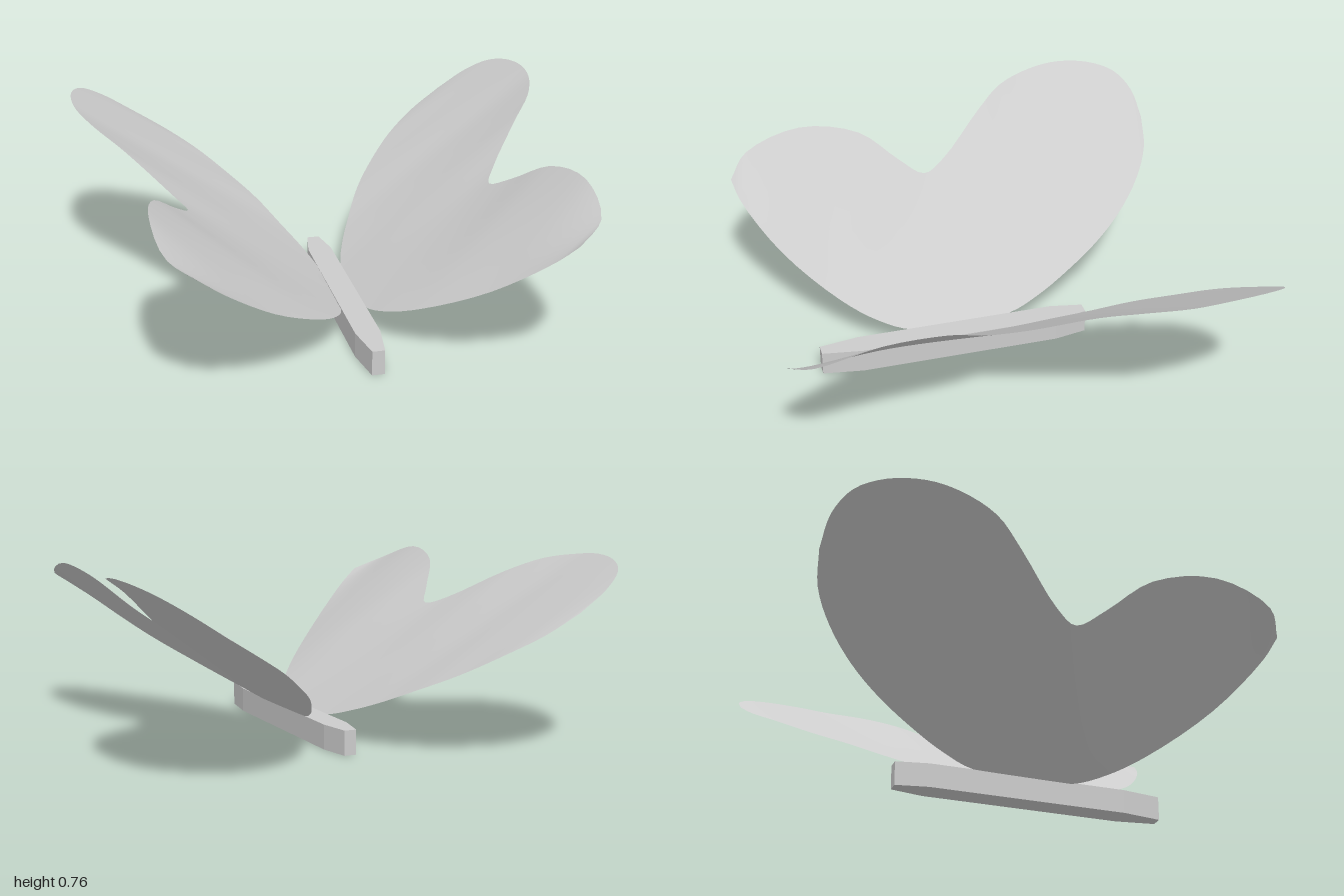
import * as THREE from 'three';

const material = new THREE.MeshStandardMaterial({ color: 0xcccccc, side: THREE.DoubleSide });

const curve = (points) => new THREE.CatmullRomCurve3(points.map((p) => new THREE.Vector3(...p)));

// Wing edges from the rear tip to the front tip, for the +x side
const REAR_TIP = [0.71, 0.58, -0.93];
const FRONT_TIP = [0.69, 0.555, 0.925];
const innerEdge = curve([
  REAR_TIP, [0.58, 0.5, -0.9], [0.45, 0.42, -0.82], [0.33, 0.335, -0.7], [0.23, 0.262, -0.56],
  [0.15, 0.19, -0.4], [0.09, 0.138, -0.26], [0.05, 0.1, -0.12], [0.048, 0.095, 0.1], [0.05, 0.095, 0.3],
  [0.1, 0.13, 0.43], [0.2, 0.195, 0.57], [0.41, 0.335, 0.77], [0.61, 0.49, 0.9], FRONT_TIP,
]);
const outerEdge = curve([
  REAR_TIP, [0.83, 0.66, -0.92], [0.92, 0.718, -0.865], [0.975, 0.75, -0.76], [1, 0.76, -0.62],
  [0.99, 0.748, -0.49], [0.93, 0.717, -0.33], [0.83, 0.655, -0.2], [0.67, 0.53, 0], [0.62, 0.497, 0.1],
  [0.68, 0.55, 0.2], [0.78, 0.65, 0.35], [0.83, 0.685, 0.6], [0.8, 0.615, 0.84], FRONT_TIP,
]);

// Thin skin stretched between the two edges
function createWing(side) {
  const rows = 56, cols = 8, positions = [], index = [];
  for (let i = 0; i <= rows; i++) {
    const a = innerEdge.getPoint(i / rows);
    const b = outerEdge.getPoint(i / rows);
    for (let j = 0; j <= cols; j++) {
      const p = a.clone().lerp(b, j / cols);
      positions.push(p.x * side, p.y, p.z);
      if (i === rows || j === cols) continue;
      const k = i * (cols + 1) + j, n = k + cols + 1;
      if (side > 0) index.push(k, n, k + 1, k + 1, n, n + 1);
      else index.push(k, k + 1, n, k + 1, n + 1, n);
    }
  }
  const geometry = new THREE.BufferGeometry();
  geometry.setAttribute('position', new THREE.Float32BufferAttribute(positions, 3));
  geometry.setIndex(index);
  geometry.computeVertexNormals();
  const wing = new THREE.Mesh(geometry, material);
  wing.name = side > 0 ? 'leftWing' : 'rightWing';
  return wing;
}

// Flat slab with tapered ends
function createBody() {
  const half = [[0.025, 0.435], [0.05, 0.3], [0.05, -0.53], [0.025, -0.695]];
  const outline = [...half, ...half.map(([x, y]) => [-x, y]).reverse()];
  const shape = new THREE.Shape(outline.map(([x, y]) => new THREE.Vector2(x, y)));
  const geometry = new THREE.ExtrudeGeometry(shape, { depth: 0.1, bevelEnabled: false });
  geometry.rotateX(-Math.PI / 2);
  const body = new THREE.Mesh(geometry, material);
  body.name = 'body';
  return body;
}

export function createModel() {
  const group = new THREE.Group();
  group.name = 'butterfly';
  group.add(createBody(), createWing(1), createWing(-1));
  return group;
}
